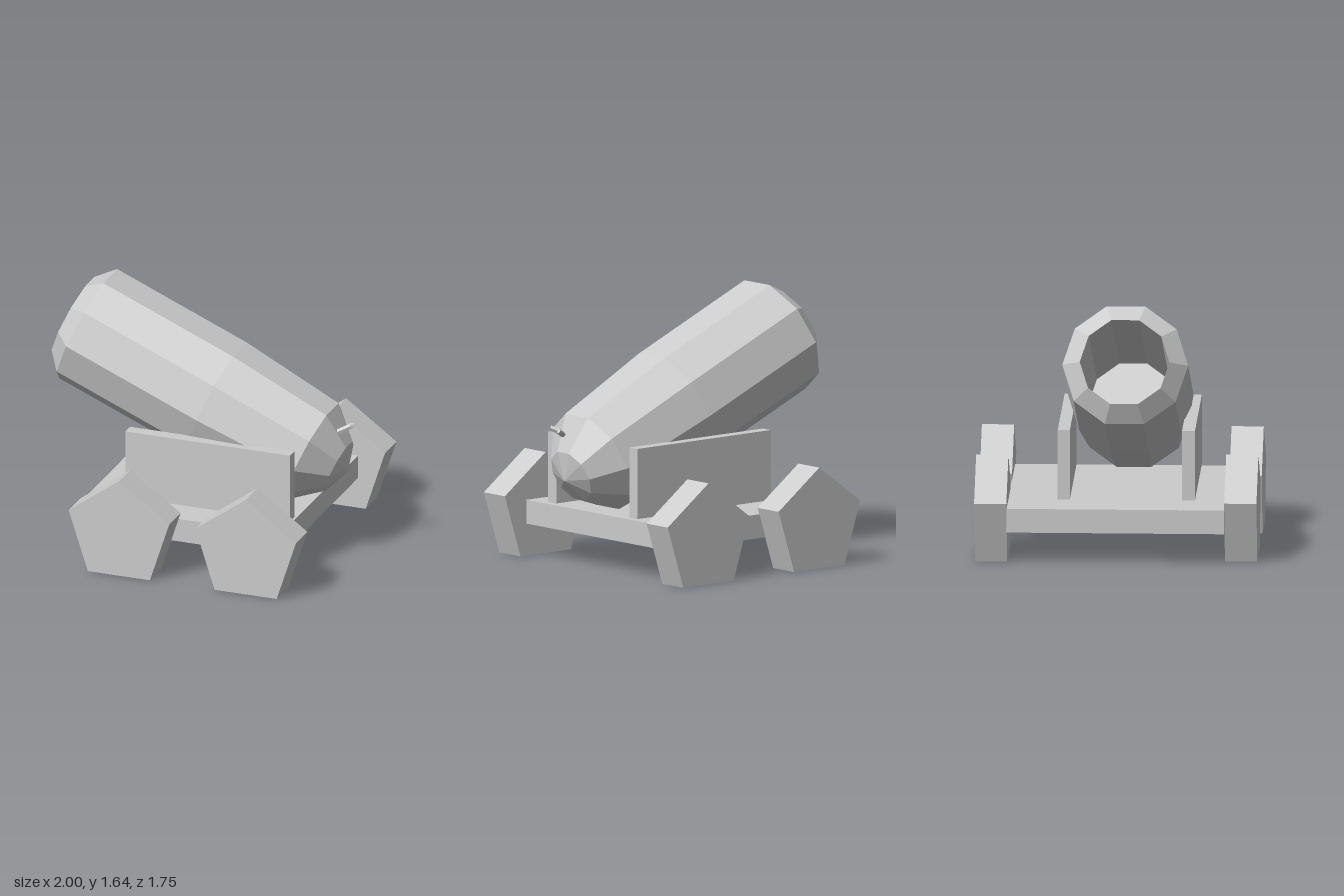
import * as THREE from 'three';

export function createModel() {
  const model = new THREE.Group();
  const mat = new THREE.MeshStandardMaterial({ color: 0xcccccc, flatShading: true });

  function add(name, geometry, x, y, z) {
    const mesh = new THREE.Mesh(geometry, mat);
    mesh.name = name;
    mesh.position.set(x, y, z);
    model.add(mesh);
    return mesh;
  }

  // Box given by its lower and upper corners
  function addBox(name, [x0, y0, z0], [x1, y1, z1]) {
    add(name, new THREE.BoxGeometry(x1 - x0, y1 - y0, z1 - z0),
      (x0 + x1) / 2, (y0 + y1) / 2, (z0 + z1) / 2);
  }

  // Carriage bed and the two cheek plates holding the barrel
  addBox('carriageBed', [-0.64, 0.2, -0.68], [0.7, 0.35, 0.67]);
  addBox('frontCheek', [-0.4, 0.36, 0.4], [0.69, 0.8, 0.48]);
  addBox('backCheek', [-0.4, 0.36, -0.37], [0.69, 0.8, -0.295]);

  // Five-sided wheels, point up; one sits slightly further along
  const wheelGeo = new THREE.CylinderGeometry(0.35, 0.35, 0.2, 5);
  wheelGeo.rotateY(Math.PI);
  wheelGeo.rotateX(Math.PI / 2);
  // Turn so that a corner points straight up
  const first = new THREE.Vector3().fromBufferAttribute(wheelGeo.attributes.position, 0);
  wheelGeo.rotateZ(Math.PI / 2 - Math.atan2(first.y, first.x));
  for (const [name, x, z] of [
    ['frontMuzzleWheel', -0.295, 0.77], ['frontBreechWheel', 0.545, 0.77],
    ['backMuzzleWheel', -0.36, -0.777], ['backBreechWheel', 0.545, -0.777],
  ]) add(name, wheelGeo, x, 0.283, z);

  // Ten-sided barrel: rounded breech, tapered body, chamfered muzzle, hollow bore
  const profile = [
    [0, -1.87], [0.175, -1.807], [0.343, -1.619], [0.39, -0.936], [0.39, 0],
    [0.278, 0.102], [0.278, -1.3], [0, -1.3],
  ].map(([r, y]) => new THREE.Vector2(r, y));
  const barrel = add('barrel', new THREE.LatheGeometry(profile, 10), -0.805, 1.3, 0.064);
  barrel.rotation.z = 1.169;

  // Kinked fuse on top of the breech
  const fuse = [[0.83, 0.825, 0.14], [0.95, 0.885, 0.083], [0.983, 0.902, 0.117]]
    .map((p) => new THREE.Vector3(...p));
  for (let i = 0; i < 2; i++) {
    const dir = fuse[i + 1].clone().sub(fuse[i]);
    const mid = fuse[i].clone().add(fuse[i + 1]).multiplyScalar(0.5);
    const piece = add('fuse' + (i + 1),
      new THREE.CylinderGeometry(0.018, 0.018, dir.length(), 5), mid.x, mid.y, mid.z);
    piece.quaternion.setFromUnitVectors(new THREE.Vector3(0, 1, 0), dir.normalize());
  }

  return model;
}
